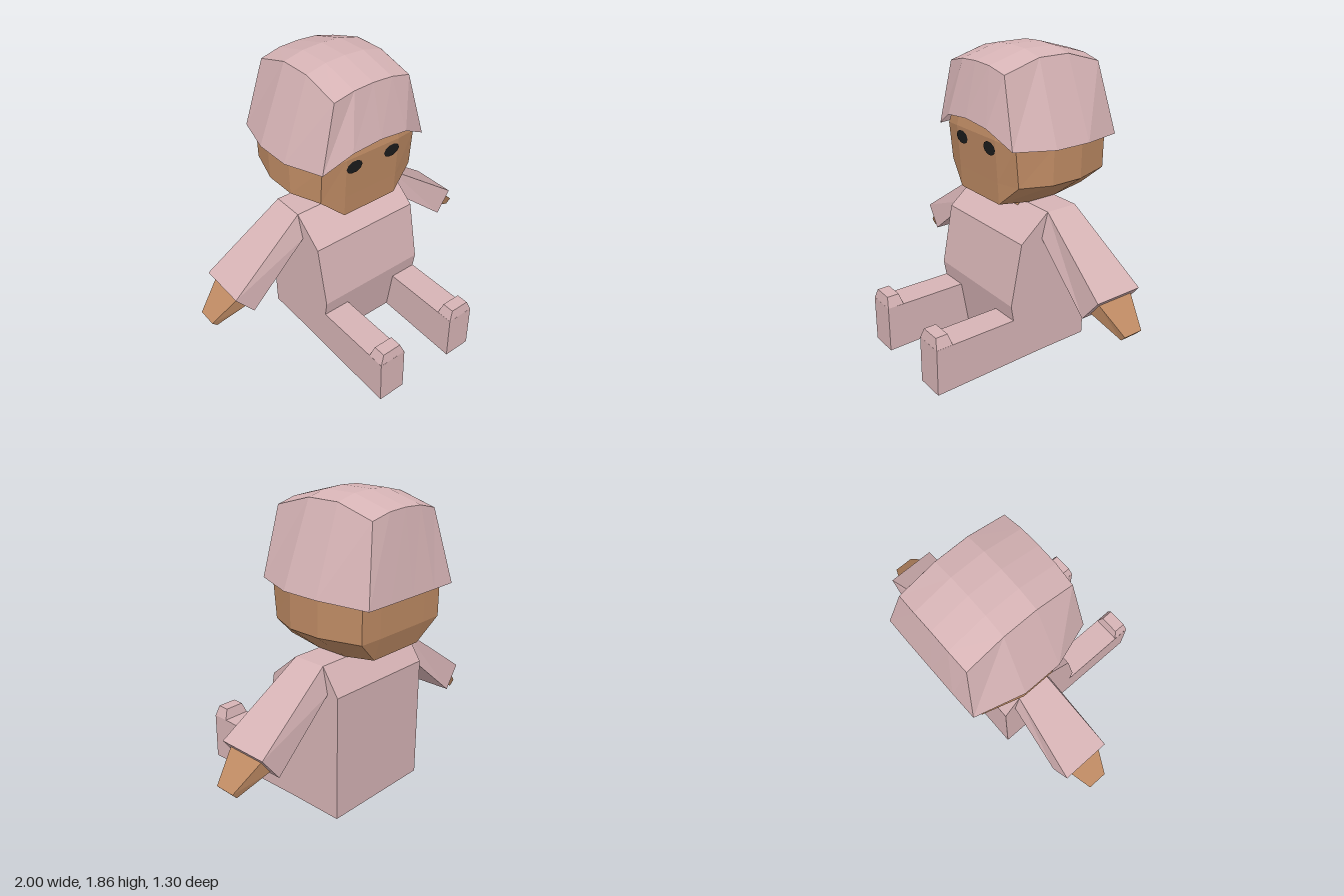
import * as THREE from 'three';

const mat = (name, color, side = THREE.FrontSide) => {
  const m = new THREE.MeshStandardMaterial({ color, side });
  m.name = name;
  m.flatShading = true;
  return m;
};

// Skin rows of points with quads; closed rows wrap round and may be capped
function loft(rows, closed = true, caps = true) {
  const out = [];
  const quad = (a, b, c, d) => out.push(...a, ...b, ...c, ...a, ...c, ...d);
  for (let r = 0; r < rows.length - 1; r++) {
    const a = rows[r], b = rows[r + 1], n = a.length;
    for (let i = 0; i < (closed ? n : n - 1); i++) {
      const j = (i + 1) % n;
      quad(a[i], a[j], b[j], b[i]);
    }
  }
  if (caps) {
    const s = rows[0], e = rows[rows.length - 1], n = s.length;
    for (let i = 0; i < n / 2 - 1; i++) {
      quad(s[n - 1 - i], s[n - 2 - i], s[i + 1], s[i]);
      quad(e[i], e[i + 1], e[n - 2 - i], e[n - 1 - i]);
    }
  }
  const g = new THREE.BufferGeometry();
  g.setAttribute('position', new THREE.Float32BufferAttribute(out, 3));
  g.computeVertexNormals();
  return g;
}

// Full ring from its left half (front to back)
const mirrorRing = (half) => [...half, ...half.map(([x, y, z]) => [-x, y, z]).reverse()];

// Same ring on the left (s = 1) or right (s = -1)
const onSide = (ring, s) => (s > 0 ? ring : ring.map(([x, y, z]) => [-x, y, z]).reverse());

// Side profile of [z, y] points extruded from x0 to x1
function slab(points, x0, x1) {
  const shape = new THREE.Shape(points.map(([z, y]) => new THREE.Vector2(z, y)));
  return new THREE.ExtrudeGeometry(shape, { depth: x1 - x0, bevelEnabled: false })
    .rotateY(-Math.PI / 2).translate(x1, 0, 0);
}

// Four-cornered limb section: top and bottom [x, y, zFront, zBack]
const limbRing = ([tx, ty, tf, tb], [bx, by, bf, bb]) =>
  [[tx, ty, tf], [bx, by, bf], [bx, by, bb], [tx, ty, tb]];

export function createModel() {
  const group = new THREE.Group();
  const cloth = mat('pink cloth', 0xd6b3b5);
  const hoodCloth = cloth.clone();
  hoodCloth.side = THREE.DoubleSide;
  const skin = mat('skin', 0xbf8b64);
  const black = mat('eye black', 0x1c1c1c, THREE.DoubleSide);
  const add = (name, geometry, material) => {
    const m = new THREE.Mesh(geometry, material);
    m.name = name;
    group.add(m);
    return m;
  };

  // Torso
  add('torso', slab([
    [-0.45, 0.015], [0.06, 0.015], [0.13, 0.4], [0.06, 0.785],
    [-0.13, 0.945], [-0.34, 0.945], [-0.45, 0.785],
  ], -0.37, 0.37), cloth);

  // Neck, just showing at the collar
  add('neck', new THREE.BoxGeometry(0.24, 0.03, 0.2).translate(0, 0.945, -0.235), skin);
  const collar = add('collarSkin', new THREE.BoxGeometry(0.26, 0.006, 0.045), skin);
  collar.position.set(0, 0.932, -0.114);
  collar.rotation.x = Math.atan2(0.16, 0.19);

  // Head: chin strip, jaw, brow and hidden crown
  add('head', loft([
    [[0.19, 0.985, 0.09], [0.19, 0.985, 0.09], [0.19, 0.95, -0.13],
      [0.19, 0.95, -0.34], [0.19, 0.985, -0.55], [0.19, 0.985, -0.55]],
    [[0.19, 1.12, 0.1], [0.335, 1.12, 0.06], [0.41, 1.12, -0.13],
      [0.41, 1.12, -0.34], [0.335, 1.12, -0.585], [0.19, 1.12, -0.59]],
    [[0.19, 1.38, 0.122], [0.335, 1.36, 0.085], [0.41, 1.35, -0.13],
      [0.41, 1.35, -0.34], [0.335, 1.35, -0.585], [0.19, 1.35, -0.59]],
    [[0.17, 1.6, 0.08], [0.26, 1.6, 0.05], [0.3, 1.6, -0.13],
      [0.3, 1.6, -0.34], [0.26, 1.6, -0.52], [0.17, 1.6, -0.53]],
  ].map(mirrorRing)), skin);

  // Hood: rim swept up to the edge of a domed crown
  const rim = [[0, 1.475, 0.185], [0.19, 1.455, 0.18], [0.365, 1.355, 0.13],
    [0.445, 1.342, -0.12], [0.445, 1.342, -0.36], [0.36, 1.325, -0.65],
    [0.19, 1.325, -0.652], [0, 1.325, -0.652]];
  const edge = [[0, 1.795, 0.115], [0.13, 1.788, 0.115], [0.26, 1.757, 0.11],
    [0.26, 1.825, -0.13], [0.26, 1.825, -0.34], [0.26, 1.757, -0.575],
    [0.13, 1.788, -0.58], [0, 1.795, -0.58]];
  add('hoodSides', loft([rim, edge].map(mirrorRing), true, false), hoodCloth);
  const crownRow = (z, y, zEdge = z) => [-0.26, -0.13, 0, 0.13, 0.26].map((x) =>
    [x, y - [0, 0.007, 0.038][Math.round(Math.abs(x) / 0.13)], Math.abs(x) > 0.2 ? zEdge : z]);
  add('hoodCrown', loft([
    crownRow(0.115, 1.795, 0.11), crownRow(-0.13, 1.862),
    crownRow(-0.34, 1.862), crownRow(-0.58, 1.795, -0.575),
  ], false, false), hoodCloth);

  for (const s of [1, -1]) {
    const side = s > 0 ? 'left' : 'right';

    // Eye
    const eye = add(side + 'Eye', new THREE.CircleGeometry(1, 10).scale(0.057, 0.042, 1), black);
    eye.position.set(s * 0.137, 1.32, 0.122);
    eye.rotation.x = 0.085;

    // Sleeve and hand
    add(side + 'Arm', loft([
      limbRing([0.37, 0.945, -0.13, -0.34], [0.37, 0.785, -0.09, -0.375]),
      limbRing([0.873, 0.587, -0.075, -0.393], [0.765, 0.447, -0.067, -0.4]),
    ].map((r) => onSide(r, s))), cloth);
    add(side + 'Hand', loft([
      limbRing([0.82, 0.583, -0.11, -0.355], [0.755, 0.5, -0.11, -0.355]),
      limbRing([0.848, 0.555, -0.11, -0.355], [0.79, 0.475, -0.11, -0.355]),
      limbRing([1.0, 0.405, -0.17, -0.297], [0.968, 0.37, -0.175, -0.292]),
    ].map((r) => onSide(r, s))), skin);

    // Leg stretched forward
    const xs = [s * 0.19, s * 0.37].sort((a, b) => a - b);
    add(side + 'Leg', slab([
      [-0.1, 0.015], [0.65, 0], [0.65, 0.3], [0.12, 0.3], [-0.1, 0.3],
    ], xs[0], xs[1]), cloth);

    // Upturned toe
    const toeRing = (y, z0, z1, w) => [[s * 0.28 + w, y, z1], [s * 0.28 + w, y, z0],
      [s * 0.28 - w, y, z0], [s * 0.28 - w, y, z1]];
    add(side + 'Toe', loft([
      toeRing(0.298, 0.543, 0.65, 0.09), toeRing(0.365, 0.56, 0.638, 0.063),
    ]), cloth);
  }
  return group;
}
